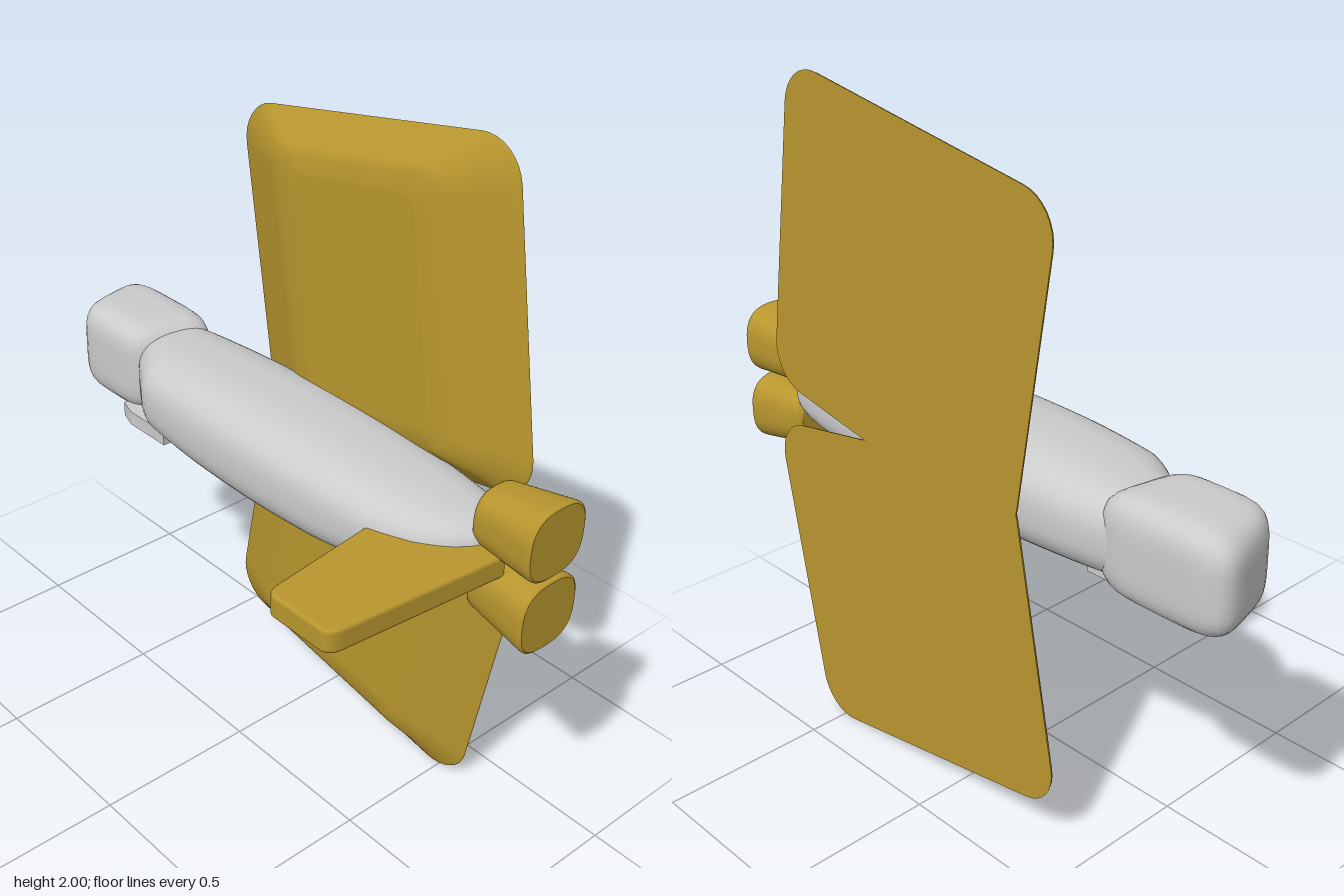
import * as THREE from 'three';

const grey = new THREE.MeshStandardMaterial({ color: 0xcccccc });
const gold = new THREE.MeshStandardMaterial({ color: 0xb8962e });

// Skin over equal-length rings (counter-clockwise seen along the loft direction), capped sharply
function loft(rings) {
  const n = rings[0].length, pos = [], idx = [];
  const push = (r) => r.forEach((p) => pos.push(p.x, p.y, p.z));
  rings.forEach(push);
  for (let i = 0; i < rings.length - 1; i++) {
    for (let j = 0; j < n; j++) {
      const a = i * n + j, b = i * n + (j + 1) % n;
      idx.push(a, b, b + n, a, b + n, a + n);
    }
  }
  for (const end of [0, 1]) {
    const ring = rings[end ? rings.length - 1 : 0], base = pos.length / 3;
    push(ring);
    const c = ring.reduce((s, p) => s.add(p), new THREE.Vector3()).divideScalar(n);
    pos.push(c.x, c.y, c.z);
    for (let j = 0; j < n; j++) {
      const a = base + j, b = base + (j + 1) % n;
      idx.push(base + n, end ? a : b, end ? b : a);
    }
  }
  const g = new THREE.BufferGeometry();
  g.setAttribute('position', new THREE.Float32BufferAttribute(pos, 3));
  g.setIndex(idx);
  g.computeVertexNormals();
  return g;
}

const soft = (v, p) => Math.sign(v) * Math.abs(v) ** (2 / p);

// Rounded section across x, spanning y0..y1 and z0..z1
function sectionX(x, y0, y1, z0, z1, p) {
  return Array.from({ length: 48 }, (_, i) => {
    const t = (i / 48) * Math.PI * 2;
    return new THREE.Vector3(x,
      (y0 + y1) / 2 + (y1 - y0) / 2 * soft(Math.cos(t), p),
      (z0 + z1) / 2 + (z1 - z0) / 2 * soft(Math.sin(t), p));
  });
}

// Rounded rectangle in the xy plane at height z
function roundedRect(z, w, h, r) {
  const pts = [];
  for (let q = 0; q < 4; q++) {
    const sx = q === 0 || q === 3 ? 1 : -1, sy = q < 2 ? 1 : -1;
    for (let k = 0; k <= 8; k++) {
      const t = (q + k / 8) * Math.PI / 2;
      pts.push(new THREE.Vector3(sx * (w / 2 - r) + r * Math.cos(t), sy * (h / 2 - r) + r * Math.sin(t), z));
    }
  }
  return pts;
}

export function createModel() {
  const model = new THREE.Group();
  const add = (name, geometry, material) => {
    const m = new THREE.Mesh(geometry, material);
    m.name = name;
    model.add(m);
    return m;
  };

  // Fuselage: control sections [x, half height, low z, high z], interpolated smoothly
  const stations = [
    [-0.6, 0.105, -0.33, -0.1], [-0.53, 0.12, -0.345, -0.05], [-0.42, 0.132, -0.357, 0.015],
    [-0.2, 0.145, -0.365, 0.034], [0.05, 0.148, -0.368, 0.04], [0.3, 0.14, -0.365, 0.033],
    [0.5, 0.12, -0.357, 0.008], [0.63, 0.1, -0.342, -0.04], [0.7, 0.085, -0.325, -0.09],
    [0.74, 0.068, -0.305, -0.14], [0.762, 0.035, -0.27, -0.19]];
  const spine = new THREE.CatmullRomCurve3(stations.map((s) => new THREE.Vector3(s[0], s[1], 0)));
  const belly = new THREE.CatmullRomCurve3(stations.map((s) => new THREE.Vector3(s[2], s[3], 0)));
  const body = Array.from({ length: 41 }, (_, i) => {
    const a = spine.getPoint(i / 40), b = belly.getPoint(i / 40);
    return sectionX(a.x, 1.003 - a.y, 1.003 + a.y, b.x, b.y, 2.7);
  });
  add('fuselage', loft(body), grey);

  // Nose: rounded block, narrowing towards +z
  const nose = new THREE.SphereGeometry(1, 48, 32);
  const p = nose.attributes.position, v = new THREE.Vector3();
  for (let i = 0; i < p.count; i++) {
    v.fromBufferAttribute(p, i);
    const k = (Math.abs(v.x) ** 4.5 + Math.abs(v.y) ** 4.5 + Math.abs(v.z) ** 4.5) ** (-1 / 4.5);
    v.multiplyScalar(k);
    const f = (v.z + 1) / 2;
    p.setXYZ(i, -0.718 + 0.008 * f + v.x * (0.225 - 0.072 * f), 1.003 + v.y * 0.145, -0.203 + v.z * 0.143);
  }
  nose.computeVertexNormals();
  add('nose', nose, grey);

  // Small plate beside the nose
  const plateShape = new THREE.Shape([[-0.635, 0.25], [-0.41, 0.25], [-0.41, 0.045], [-0.575, 0.045], [-0.635, 0.065]]
    .map(([x, y]) => new THREE.Vector2(x, y)));
  const plate = new THREE.ExtrudeGeometry(plateShape, { depth: 0.045, bevelEnabled: false });
  plate.rotateX(-Math.PI / 2).translate(0, 0.84, 0);
  add('sidePlate', plate, grey);

  // Mirrored wings and engines
  for (const s of [1, -1]) {
    const side = s > 0 ? 'upper' : 'lower';
    const wing = add(side + 'Wing', loft([
      roundedRect(-0.377, 1.02, 0.96, 0.12), roundedRect(-0.37, 1.015, 0.955, 0.12),
      roundedRect(-0.34, 0.85, 0.87, 0.1), roundedRect(-0.305, 0.66, 0.8, 0.07),
      roundedRect(-0.292, 0.58, 0.75, 0.06), roundedRect(-0.287, 0.46, 0.65, 0.05)]), gold);
    wing.position.set(0.155, 1 + s * 0.457, 0);
    wing.rotation.z = s * THREE.MathUtils.degToRad(10);

    const bell = [[0.718, 0.062, 0.07], [0.725, 0.083, 0.08], [0.735, 0.086, 0.083],
      [0.915, 0.106, 0.107], [0.925, 0.106, 0.107], [0.93, 0.1, 0.1]];
    add(side + 'Engine', loft(bell.map(([x, h, d]) => {
      const y = 1 + s * (0.098 + 0.013 * (x - 0.72) / 0.21);
      return sectionX(x, y - h, y + h, -0.237 - d, -0.237 + d, 2.7);
    })), gold);
  }

  // Tapered tail fin with rounded tip
  const fin = new THREE.Shape();
  fin.moveTo(0.51, 0.17);
  fin.lineTo(0.81, 0.17);
  fin.lineTo(0.765, -0.33);
  fin.quadraticCurveTo(0.76, -0.365, 0.735, -0.365);
  fin.lineTo(0.575, -0.365);
  fin.quadraticCurveTo(0.553, -0.365, 0.549, -0.33);
  fin.lineTo(0.51, 0.0);
  fin.closePath();
  const finGeo = new THREE.ExtrudeGeometry(fin, {
    depth: 0.05, bevelThickness: 0.01, bevelSize: 0.01, bevelSegments: 3, curveSegments: 8 });
  finGeo.rotateX(-Math.PI / 2).translate(0, 0.98, 0);
  add('tailFin', finGeo, gold);

  return model;
}
